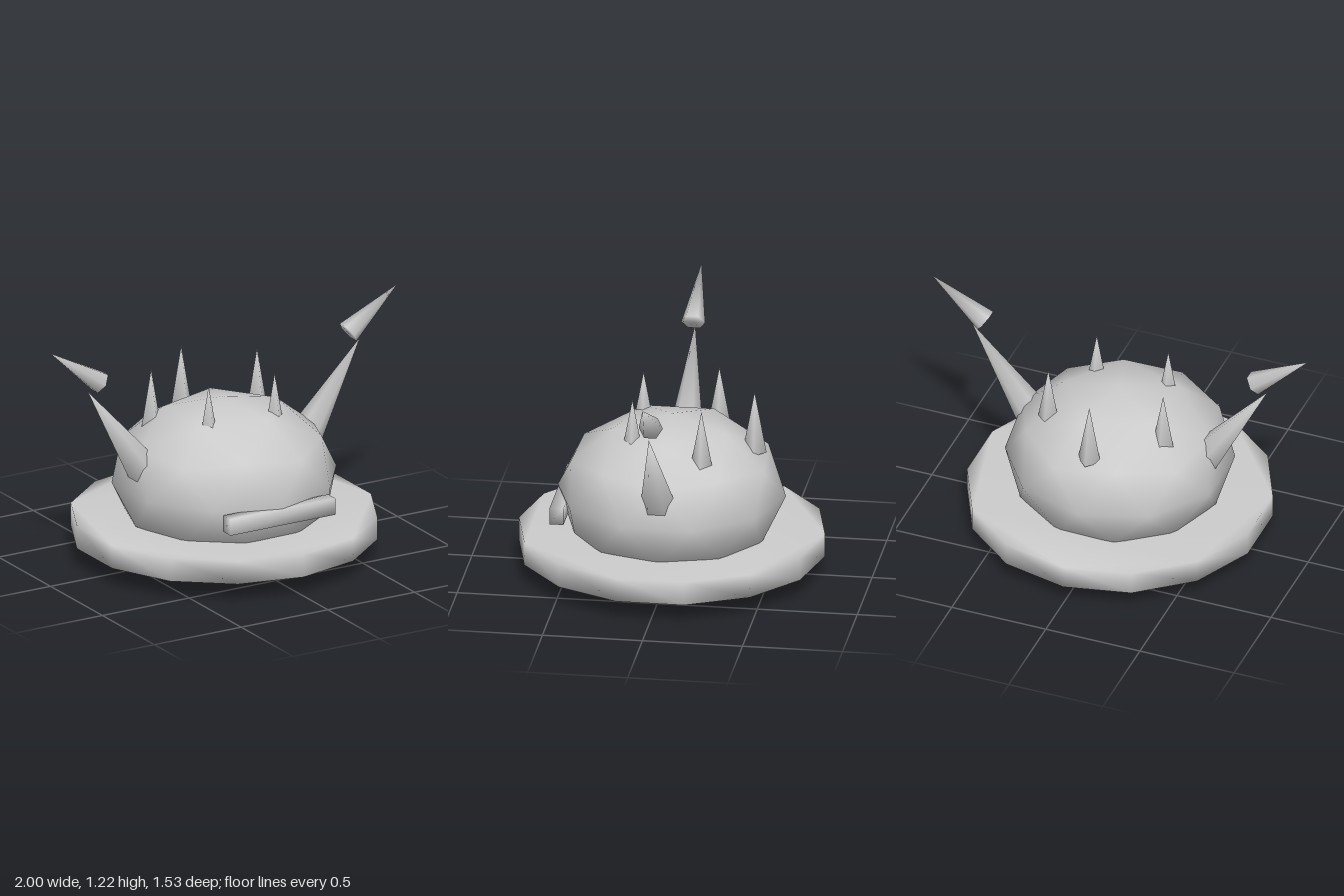
import * as THREE from 'three';
import { mergeVertices } from 'three/addons/utils/BufferGeometryUtils.js';

const material = new THREE.MeshStandardMaterial({ color: 0xcccccc });

// Weld all corners so shading runs smoothly across every edge
function smooth(geometry) {
  geometry.deleteAttribute('normal');
  geometry.deleteAttribute('uv');
  const welded = mergeVertices(geometry, 1e-4);
  welded.computeVertexNormals();
  return welded;
}

function addPart(parent, name, geometry) {
  const mesh = new THREE.Mesh(geometry, material);
  mesh.name = name;
  parent.add(mesh);
  return mesh;
}

// Cone with its base centre at the origin, pointing up
function spike(radius, height, sides) {
  return smooth(new THREE.ConeGeometry(radius, height, sides).translate(0, height / 2, 0));
}

// Cone in the xy plane with its tip and base centre given
function addHorn(parent, name, base, tip, radius) {
  const dx = tip[0] - base[0], dy = tip[1] - base[1];
  const horn = addPart(parent, name, spike(radius, Math.hypot(dx, dy), 6));
  horn.position.set(base[0], base[1], 0);
  horn.rotation.z = Math.atan2(-dx, dy);
}

export function createModel() {
  const model = new THREE.Group();
  model.name = 'hornedDome';

  // Flattened icosphere body, a corner turned to the pole
  const body = new THREE.IcosahedronGeometry(1, 1);
  body.rotateZ(Math.atan(2 / (1 + Math.sqrt(5)))).rotateY(Math.PI);
  body.scale(0.57, 0.408, 0.57).translate(0, 0.411, 0);
  addPart(model, 'body', body);

  // Fourteen-sided brim
  const rim = [];
  for (let i = 0; i < 14; i++) {
    const a = Math.PI / 2 + (i * Math.PI) / 7;
    rim.push(new THREE.Vector2(0.765 * Math.cos(a), 0.765 * Math.sin(a)));
  }
  const brim = new THREE.ExtrudeGeometry(new THREE.Shape(rim), { depth: 0.12, bevelEnabled: false });
  addPart(model, 'brim', smooth(brim.rotateX(-Math.PI / 2).translate(0, 0.102, 0)));

  // Bar across the front
  addPart(model, 'frontBar', smooth(new THREE.BoxGeometry(0.605, 0.085, 0.07).translate(0, 0.357, 0.533)));

  // Side horns with separate tips
  for (const [side, s] of [['left', 1], ['right', -1]]) {
    addHorn(model, side + 'Horn', [s * 0.42, 0.46], [s * 0.785, 0.985], 0.1);
    addHorn(model, side + 'HornTip', [s * 0.715, 1.022], [s * 1, 1.225], 0.06);
  }

  // Small spikes on the crown
  const crown = new THREE.Group();
  crown.name = 'crownSpikes';
  model.add(crown);
  for (const [x, z] of [[0, -0.413], [0.305, -0.192], [-0.305, -0.192], [0.19, 0.17], [-0.19, 0.17]]) {
    addPart(crown, 'crownSpike', spike(0.06, 0.32, 4)).position.set(x, 0.638, z);
  }
  return model;
}
